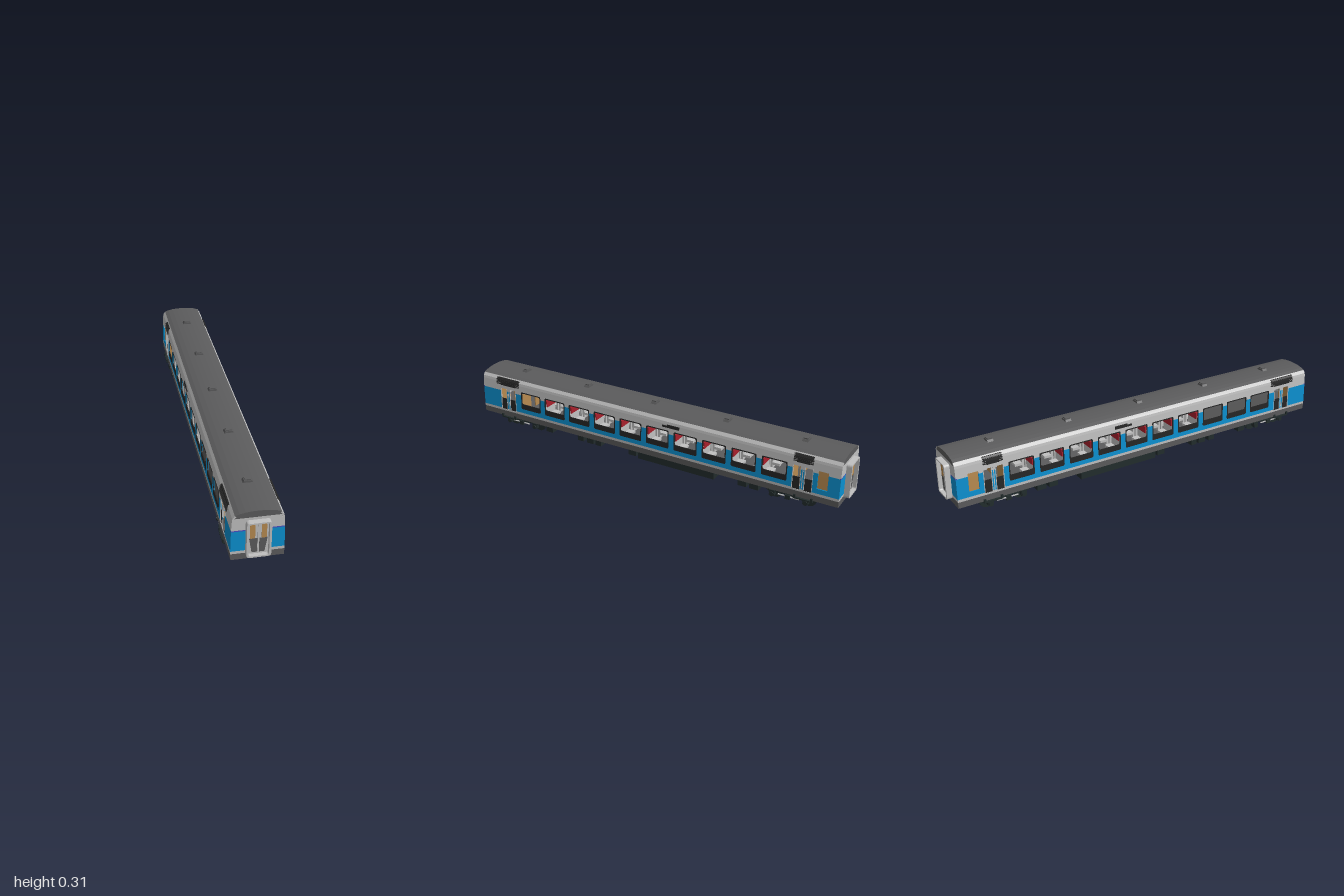
import * as THREE from 'three';
import { mergeGeometries } from 'three/addons/utils/BufferGeometryUtils.js';

const mat = (name, color) => {
  const m = new THREE.MeshStandardMaterial({ color });
  m.name = name;
  return m;
};

// half width of the body at height y
const PROFILE = [[0.06, 0.109], [0.105, 0.11], [0.2, 0.108], [0.25, 0.105], [0.262, 0.103], [0.276, 0.093]];
function halfWidth(y) {
  for (let i = 1; i < PROFILE.length; i++) {
    const [y0, x0] = PROFILE[i - 1], [y1, x1] = PROFILE[i];
    if (y <= y1) return x0 + (x1 - x0) * (y - y0) / (y1 - y0);
  }
  return 0.093;
}

// box given by its limits
function block(x0, x1, y0, y1, z0, z1, ySegments = 1) {
  const g = new THREE.BoxGeometry(x1 - x0, y1 - y0, z1 - z0, 1, ySegments, 1);
  return g.translate((x0 + x1) / 2, (y0 + y1) / 2, (z0 + z1) / 2);
}

// shift a geometry built around x = 0 out onto the +x body side
function onSide(g) {
  const p = g.attributes.position;
  for (let i = 0; i < p.count; i++) p.setX(i, p.getX(i) + halfWidth(p.getY(i)));
  g.computeVertexNormals();
  return g;
}
const sidePlate = (z0, z1, y0, y1, inner = -0.006, outer = 0) => onSide(block(inner, outer, y0, y1, z0, z1, 4));

// reflected copy with the winding put right
function mirrored(g, axis) {
  const m = g.index ? g.toNonIndexed() : g.clone();
  m.scale(axis === 'x' ? -1 : 1, 1, axis === 'z' ? -1 : 1);
  const p = m.attributes.position, a = new THREE.Vector3(), b = new THREE.Vector3();
  for (let i = 0; i < p.count; i += 3) {
    a.fromBufferAttribute(p, i + 1);
    b.fromBufferAttribute(p, i + 2);
    p.setXYZ(i + 1, b.x, b.y, b.z);
    p.setXYZ(i + 2, a.x, a.y, a.z);
  }
  m.computeVertexNormals();
  return m;
}
const both = (list, axis) => list.flatMap(g => [g, mirrored(g, axis)]);
const polygon = pts => new THREE.Shape(pts.map(([x, y]) => new THREE.Vector2(x, y)));
const extrude = (shape, depth, z) =>
  new THREE.ExtrudeGeometry(shape, { depth, bevelEnabled: false, curveSegments: 5 }).translate(0, 0, z);

function roundedRect(x0, x1, y0, y1, r, Type = THREE.Shape) {
  const s = new Type();
  s.moveTo(x0 + r, y0).lineTo(x1 - r, y0).quadraticCurveTo(x1, y0, x1, y0 + r);
  s.lineTo(x1, y1 - r).quadraticCurveTo(x1, y1, x1 - r, y1);
  s.lineTo(x0 + r, y1).quadraticCurveTo(x0, y1, x0, y1 - r);
  s.lineTo(x0, y0 + r).quadraticCurveTo(x0, y0, x0 + r, y0);
  return s;
}

export function createModel() {
  const model = new THREE.Group();
  model.name = 'railwayCoach';
  const blue = mat('blue paint', 0x0b90d0), light = mat('light grey', 0xc0c0c0), grey = mat('dark grey', 0x5b5b5c);
  const under = mat('underframe black', 0x222c2c), purple = mat('violet line', 0x4a4fc4), tan = mat('tan panel', 0xb78a50);
  const red = mat('red fabric', 0xa8202c), black = mat('vent black', 0x262626);
  const add = (name, material, list) => {
    const mesh = new THREE.Mesh(mergeGeometries(list.map(g => (g.index ? g.toNonIndexed() : g))), material);
    mesh.name = name;
    model.add(mesh);
  };

  const END = 0.975, WALL = 0.969;
  const windows = Array.from({ length: 10 }, (_, i) => 0.671 - i * 0.149);

  // side walls: bands split around the openings [z0, z1, y0, y1]
  const openings = windows.map(z => [z - 0.06, z + 0.06, 0.128, 0.218]);
  openings.push([-0.92, -0.872, 0.128, 0.215]);
  for (const z of [0.815, -0.803])
    for (const s of [-1, 1]) openings.push([z + s * 0.028 - 0.02, z + s * 0.028 + 0.02, 0.1, 0.215]);
  openings.sort((a, b) => a[0] - b[0]);
  const sideBand = (y0, y1) => {
    const out = [];
    let z = -WALL;
    for (const [a, b, lo, hi] of openings) {
      if (hi <= y0 || lo >= y1) continue;
      out.push(sidePlate(z, a, y0, y1));
      if (lo > y0) out.push(sidePlate(a, b, y0, lo));
      if (hi < y1) out.push(sidePlate(a, b, hi, y1));
      z = b;
    }
    out.push(sidePlate(z, WALL, y0, y1));
    return both(out, 'x');
  };
  // end walls: one slab per band, full body width
  const endBand = (y0, y1) => {
    const a = halfWidth(y0), b = halfWidth(y1);
    return both([extrude(polygon([[-a, y0], [a, y0], [b, y1], [-b, y1]]), END - WALL, WALL)], 'z');
  };
  add('skirt', grey, [...sideBand(0.063, 0.092), ...endBand(0.063, 0.092)]);
  add('lowerStripe', light, [...sideBand(0.092, 0.105), ...endBand(0.092, 0.105)]);
  add('bluePanels', blue, [...sideBand(0.105, 0.202), ...endBand(0.105, 0.2)]);
  add('upperPanels', light, [...sideBand(0.202, 0.25), ...endBand(0.205, 0.25),
    ...both([block(-0.096, 0.096, 0.25, 0.262, WALL, END)], 'z')]);
  add('endLine', purple, endBand(0.2, 0.205));

  // roof shell, its light shoulders and the dark end caps
  const shoulder = polygon([[0.097, 0.25], [0.105, 0.25], [0.103, 0.262], [0.093, 0.276], [0.087, 0.272], [0.095, 0.262]]);
  add('roofShoulders', light, both([extrude(shoulder, 2 * END, -END)], 'x'));
  const arc = [[0.093, 0.276], [0.075, 0.283], [0.05, 0.288], [0.025, 0.2905], [0, 0.291]];
  const top = [...arc, ...arc.slice(0, -1).reverse().map(([x, y]) => [-x, y])];
  const lower = top.map(([x, y]) => [x * 0.94, y - 0.005]);
  add('roof', grey, [extrude(polygon([...top, ...lower.slice().reverse()]), 2 * END, -END)]);
  add('roofEndCaps', grey, both([extrude(polygon([[0.095, 0.262], ...lower, [-0.095, 0.262]]), END - WALL, WALL)], 'z'));

  // roof ventilators with sloping sides
  add('roofVents', grey, [-0.77, -0.385, 0, 0.385, 0.77].flatMap(z => [
    extrude(polygon([[-0.023, 0.288], [0.023, 0.288], [0.016, 0.3], [-0.016, 0.3]]), 0.028, z - 0.014),
    block(-0.013, 0.013, 0.3, 0.305, z - 0.011, z + 0.011)]));

  // window frames with a deep lower part
  const frames = windows.map(z => {
    const s = roundedRect(z - 0.061, z + 0.061, 0.127, 0.219, 0.008);
    s.holes.push(roundedRect(z - 0.056, z + 0.056, 0.154, 0.214, 0.01, THREE.Path));
    return onSide(extrude(s, 0.004, -0.001).rotateY(-Math.PI / 2));
  });
  add('windowFrames', black, both(frames, 'x'));
  add('blankedWindows', grey, windows.slice(0, 3).map(z => mirrored(sidePlate(z - 0.06, z + 0.06, 0.128, 0.218, -0.009, -0.006), 'x')));
  add('smallWindowPanels', tan, both([sidePlate(-0.92, -0.872, 0.128, 0.215, -0.009, -0.005)], 'x'));

  // side doors: dark lower panels, light posts and louvres above
  const doorPanels = [], doorPosts = [], louvres = [];
  for (const z of [0.815, -0.803]) {
    for (const s of [-1, 1]) {
      const c = z + s * 0.028;
      doorPanels.push(sidePlate(c - 0.02, c + 0.02, 0.1, 0.16, -0.005, -0.002));
      for (const t of [-0.02, 0.017]) doorPosts.push(sidePlate(c + t, c + t + 0.003, 0.1, 0.215, -0.004, 0.001));
    }
    doorPosts.push(sidePlate(z - 0.002, z + 0.002, 0.1, 0.215, -0.002, 0.001));
    const w = z > 0 ? 0.068 : 0.042;
    louvres.push(sidePlate(z - w, z + w, 0.25, 0.271, -0.002, 0.003), sidePlate(z - w * 0.7, z + w * 0.7, 0.233, 0.25, -0.002, 0.003));
    for (let i = 0; i < 5; i++) louvres.push(sidePlate(z - w - 0.004, z + w + 0.004, 0.237 + i * 0.0075, 0.24 + i * 0.0075, 0, 0.005));
  }
  louvres.push(sidePlate(-0.19, -0.1, 0.234, 0.243, -0.002, 0.003), sidePlate(-0.19, -0.125, 0.243, 0.249, -0.002, 0.003));
  add('sideDoorPanels', black, both(doorPanels, 'x'));
  add('sideDoorPosts', light, both(doorPosts, 'x'));
  add('louvres', black, both(louvres, 'x'));

  // gangways: arched frame, door leaf, dark lower panels, glazing
  const arch = roundedRect(-0.05, 0.05, 0.083, 0.25, 0.014);
  arch.holes.push(roundedRect(-0.041, 0.041, 0.09, 0.244, 0.009, THREE.Path));
  add('gangwayFrames', light, both([extrude(arch, 0.027, 0.973), block(-0.042, 0.042, 0.089, 0.245, 0.974, 0.982),
    block(-0.003, 0.003, 0.1, 0.235, 0.982, 0.987), block(-0.034, 0.034, 0.239, 0.242, 0.982, 0.986)], 'z'));
  const lowerPanel = polygon([[0.004, 0.098], [0.026, 0.098], [0.037, 0.165], [0.004, 0.165]]);
  add('gangwayDoorPanels', grey, both(both([extrude(lowerPanel, 0.002, 0.982)], 'x'), 'z'));
  add('gangwayGlazing', tan, both(both([extrude(roundedRect(0.013, 0.034, 0.165, 0.231, 0.006), 0.002, 0.982)], 'x'), 'z'));

  // interior: floor, ceiling, partitions, seats and headrests
  add('floor', grey, [block(-0.104, 0.104, 0.063, 0.092, -WALL, WALL)]);
  add('ceiling', light, [block(-0.095, 0.095, 0.25, 0.254, -WALL, 0.3)]);
  add('partitions', tan, [block(-0.095, 0.095, 0.25, 0.254, 0.3, WALL),
    ...[-0.86, -0.745, 0.745, 0.88].flatMap(z => [-1, 1].map(s => block(s * 0.06 - 0.042, s * 0.06 + 0.042, 0.092, 0.25, z - 0.003, z + 0.003)))]);
  const seats = [], rests = [];
  for (const z of windows.slice(0, -1).map(w => w - 0.0745))
    for (const s of [-1, 1]) {
      seats.push(block(0.022, 0.098, 0.092, 0.18, z + s * 0.008 - 0.005, z + s * 0.008 + 0.005),
        block(0.022, 0.098, 0.112, 0.124, z + s * 0.03 - 0.018, z + s * 0.03 + 0.018));
      rests.push(block(0.026, 0.094, 0.165, 0.198, z + s * 0.012 - 0.006, z + s * 0.012 + 0.006));
    }
  add('seats', light, both(seats, 'x'));
  add('headrests', red, both(rests, 'x'));

  // equipment boxes under the floor
  const boxes = [[-0.37, 0.04], [0.55, 0.59], [0.36, 0.395], [0.3, 0.34], [0.255, 0.287], [0.052, 0.095], [-0.535, -0.492], [-0.595, -0.55]];
  add('equipmentBoxes', under, boxes.map(([a, b], i) => block(-0.097, 0.097, i ? 0.03 : 0.022, 0.064, a, b)));

  // bogies: wheels, axles, frames, axle boxes, steps
  const wheels = [], frame = [], rods = [];
  for (const end of [-1, 1]) {
    const c = end * 0.743;
    for (const dz of [-0.08, 0.08]) {
      const disc = (r, len, x) => new THREE.CylinderGeometry(r, r, len, 24).rotateZ(Math.PI / 2).translate(x, 0.037, c + dz);
      wheels.push(disc(0.007, 0.19, 0));
      for (const s of [-1, 1]) {
        wheels.push(disc(0.037, 0.006, s * 0.055), disc(0.032, 0.004, s * 0.06), disc(0.011, 0.012, s * 0.1));
        frame.push(block(s * 0.092 - 0.01, s * 0.092 + 0.01, 0.03, 0.056, c + dz - 0.013, c + dz + 0.013));
      }
    }
    frame.push(block(-0.09, 0.09, 0.035, 0.062, c - 0.02, c + 0.02));
    for (const s of [-1, 1]) {
      frame.push(block(s * 0.085 - 0.008, s * 0.085 + 0.008, 0.048, 0.06, c - 0.11, c + 0.11));
      frame.push(block(s * 0.112 - 0.006, s * 0.112 + 0.006, 0.056, 0.062, end * 0.815 - 0.045, end * 0.815 + 0.045));
      for (const t of [-0.04, 0.04])
        frame.push(block(s * 0.115 - 0.003, s * 0.115 + 0.003, 0.056, 0.075, end * 0.815 + t - 0.005, end * 0.815 + t + 0.005));
      frame.push(block(s * 0.106 - 0.004, s * 0.106 + 0.004, 0.035, 0.056, end * 0.74 - 0.012, end * 0.74 + 0.012));
      rods.push(block(s * 0.102 - 0.003, s * 0.102 + 0.003, 0.044, 0.048, c - 0.05, c + 0.05));
    }
  }
  add('wheels', under, wheels);
  add('bogieFrames', under, frame);
  add('bogieRods', light, rods);
  return model;
}
